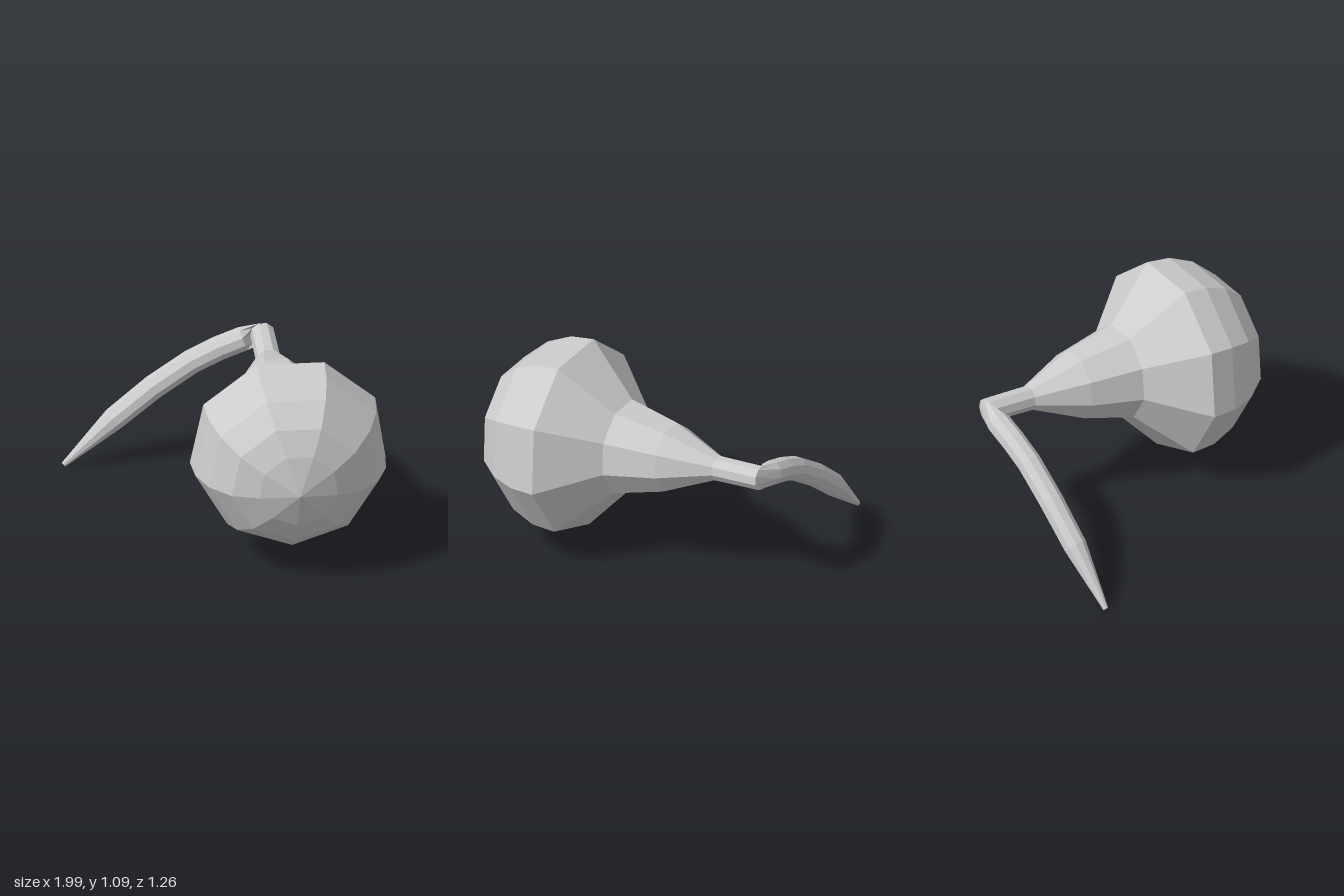
import * as THREE from 'three';

const SIDES = 9;
const PHASE = -11 * Math.PI / 180;

// One nine-sided cross-section, square to direction d
function ring({ c, d, r }) {
  const side = new THREE.Vector3(-d.z, 0, d.x).normalize();
  const up = side.clone().cross(d).normalize();
  return Array.from({ length: SIDES }, (_, j) => {
    const a = PHASE + (j / SIDES) * Math.PI * 2;
    return c.clone()
      .addScaledVector(side, r * Math.cos(a))
      .addScaledVector(up, r * Math.sin(a));
  });
}

// Skin a run of cross-sections; a radius of 0 closes the end to a point
function loft(name, stations) {
  const rings = stations.map(ring);
  const pos = [];
  const tri = (...points) => points.forEach((p) => pos.push(p.x, p.y, p.z));
  for (let i = 0; i < rings.length - 1; i++) {
    for (let j = 0; j < SIDES; j++) {
      const k = (j + 1) % SIDES;
      const a = rings[i], b = rings[i + 1];
      if (stations[i].r > 0) tri(a[j], b[j], a[k]);
      if (stations[i + 1].r > 0) tri(a[k], b[j], b[k]);
    }
  }
  const geometry = new THREE.BufferGeometry();
  geometry.setAttribute('position', new THREE.Float32BufferAttribute(pos, 3));
  geometry.computeVertexNormals();
  const mesh = new THREE.Mesh(geometry, new THREE.MeshStandardMaterial({
    color: 0xcccccc, flatShading: true, side: THREE.DoubleSide,
  }));
  mesh.name = name;
  return mesh;
}

export function createModel() {
  const group = new THREE.Group();
  group.name = 'bulbWithStem';

  // Bulb and neck share one straight axis, running back from the round end
  const center = new THREE.Vector3(0.475, 0.613, 0.115);
  const axis = new THREE.Vector3(0.768, -0.07, 0.64).normalize();
  const back = axis.clone().negate();
  const onAxis = ([t, r]) => ({ c: center.clone().addScaledVector(axis, t), d: back, r });

  const bulb = [
    [0.53, 0], [0.467, 0.21], [0.395, 0.345], [0.27, 0.45],
    [0.135, 0.505], [0, 0.517], [-0.27, 0.252],
  ].map(onAxis);
  const neck = [[-0.27, 0.252], [-0.55, 0.185], [-0.825, 0.066], [-1.09, 0.064]].map(onAxis);

  // Stem folds sharply from the neck, arcs down and tapers to a tip
  const path = [
    [-0.42, 0.668, -0.495, 0.065], [-0.495, 0.625, -0.395, 0.065],
    [-0.58, 0.56, -0.28, 0.065], [-0.70, 0.43, -0.125, 0.065],
    [-0.825, 0.262, 0.042, 0.062], [-0.985, 0.017, 0.255, 0.014],
  ];
  const points = path.map(([x, y, z]) => new THREE.Vector3(x, y, z));
  const stem = path.map((p, i) => ({
    c: points[i],
    d: points[Math.min(i + 1, points.length - 1)].clone()
      .sub(points[Math.max(i - 1, 0)]).normalize(),
    r: p[3],
  }));
  stem.push({ ...stem[stem.length - 1], r: 0 });

  group.add(
    loft('bulb', bulb),
    loft('neck', neck),
    loft('stem', [neck[neck.length - 1], ...stem]),
  );
  return group;
}
